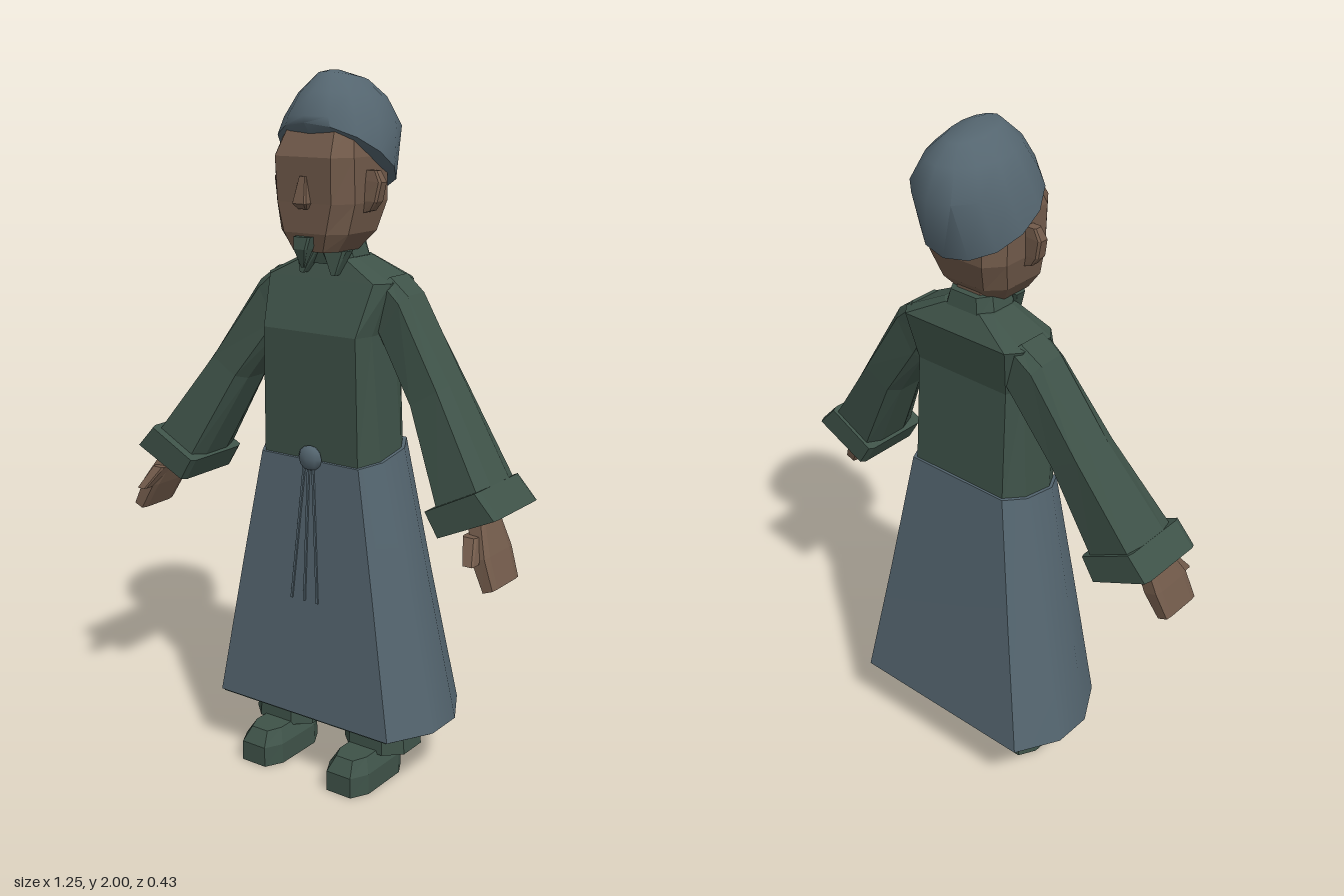
import * as THREE from 'three';
import { toCreasedNormals } from 'three/addons/utils/BufferGeometryUtils.js';

// Cross-section spanning (x0,y0)-(x1,y1) sideways and zb-zf in depth.
// ku, kv: flat share of the front and side faces; round when ku is 0. tilt lifts the front edge.
function ring(x0, y0, x1, y1, zb, zf, ku = 0.8, kv = 0.7, tilt = 0) {
  const uv = [];
  if (ku === 0) {
    for (let i = 0; i < 14; i++) {
      const a = (i / 14) * Math.PI * 2;
      uv.push([Math.sin(a), Math.cos(a)]);
    }
  } else {
    uv.push([-ku, 1], [ku, 1], [1, kv], [1, -kv], [ku, -1], [-ku, -1], [-1, -kv], [-1, kv]);
  }
  return uv.map(([u, v]) => [
    x0 + (x1 - x0) * (u + 1) / 2,
    y0 + (y1 - y0) * (u + 1) / 2 + v * tilt,
    (zb + zf) / 2 + v * (zf - zb) / 2,
  ]);
}

// Level section centred on x = 0
const level = (y, w, zb, zf, ku, kv, tilt) => ring(-w, y, w, y, zb, zf, ku, kv, tilt);

// Closed skin over sections listed from bottom to top; side -1 mirrors it
function loft(rings, side = 1, crease = 0) {
  const rs = side > 0 ? rings : rings.map(r => r.map(([x, y, z]) => [-x, y, z]).reverse());
  const n = rs[0].length, pos = [];
  const mid = r => [0, 1, 2].map(k => r.reduce((s, p) => s + p[k], 0) / n);
  const first = rs[0], last = rs[rs.length - 1];
  const cb = mid(first), ct = mid(last);
  for (let j = 0; j < n; j++) {
    const k = (j + 1) % n;
    for (let i = 0; i + 1 < rs.length; i++) {
      const a = rs[i][j], b = rs[i][k], c = rs[i + 1][k], d = rs[i + 1][j];
      pos.push(...a, ...b, ...c, ...a, ...c, ...d);
    }
    pos.push(...cb, ...first[k], ...first[j], ...ct, ...last[j], ...last[k]);
  }
  const g = new THREE.BufferGeometry();
  g.setAttribute('position', new THREE.Float32BufferAttribute(pos, 3));
  g.computeVertexNormals();
  return crease ? toCreasedNormals(g, crease) : g;
}

export function createModel() {
  const model = new THREE.Group();
  const make = (name, color) => {
    const m = new THREE.MeshStandardMaterial({ color });
    m.name = name;
    return m;
  };
  const green = make('dark green cloth', 0x3e5248);
  const slate = make('slate cloth', 0x54656f);
  const skin = make('brown skin', 0x715a4a);
  const add = (name, geometry, material) => {
    const mesh = new THREE.Mesh(geometry, material);
    mesh.name = name;
    model.add(mesh);
    return mesh;
  };

  // Skirt and its dark underside
  add('skirt', loft([
    level(0.19, 0.37, -0.205, 0.17, 0.81, 0.32),
    level(0.6, 0.283, -0.158, 0.146, 0.81, 0.36),
    level(0.97, 0.203, -0.115, 0.125, 0.82, 0.45, -0.02),
  ], 1, 0.9), slate);
  add('skirtUnderside', loft([
    level(0.185, 0.362, -0.2, 0.165, 0.81, 0.32),
    level(0.193, 0.362, -0.2, 0.165, 0.81, 0.32),
  ]), green);

  // Jacket body, shoulders and collar
  add('jacket', loft([
    level(0.94, 0.195, -0.108, 0.118, 0.82, 0.45),
    level(1.31, 0.172, -0.09, 0.125, 0.9, 0.5),
    level(1.45, 0.205, -0.12, 0.07, 0.85, 0.6),
    level(1.51, 0.085, -0.085, 0.045, 0.7, 0.6),
  ]), green);
  add('collar', loft([
    level(1.49, 0.085, -0.09, 0.06, 0.65, 0.5),
    level(1.55, 0.068, -0.08, 0.07, 0.65, 0.5),
  ]), green);

  // Neck and head
  add('neck', loft([level(1.48, 0.05, -0.06, 0.05), level(1.6, 0.05, -0.06, 0.06)]), skin);
  add('head', loft([
    level(1.53, 0.075, -0.035, 0.125, 0.65, 0.6),
    level(1.58, 0.112, -0.08, 0.14, 0.62, 0.6),
    level(1.66, 0.13, -0.11, 0.142, 0.68, 0.6),
    level(1.78, 0.13, -0.11, 0.148, 0.7, 0.6),
    level(1.87, 0.105, -0.09, 0.1, 0.7, 0.6),
  ]), skin);
  add('nose', loft([
    level(1.645, 0.015, 0.13, 0.152),
    level(1.66, 0.023, 0.13, 0.168),
    level(1.73, 0.011, 0.13, 0.15),
  ]), skin);
  add('goatee', loft([
    level(1.49, 0.005, 0.142, 0.15),
    level(1.54, 0.022, 0.125, 0.165),
    level(1.572, 0.028, 0.12, 0.158),
  ]), green);

  // Cap, tilted towards the back
  add('cap', loft([
    level(1.755, 0.128, -0.14, 0.11, 0, 0, 0.075),
    level(1.772, 0.168, -0.155, 0.14, 0, 0, 0.095),
    level(1.865, 0.15, -0.212, 0.14, 0, 0, 0.02),
    level(1.935, 0.108, -0.175, 0.105, 0, 0, 0.01),
    level(1.982, 0.055, -0.125, 0.05, 0, 0, 0.013),
    level(2.0, 0.01, -0.01, 0.02, 0, 0),
  ], 1, 0.9), slate);

  // Belt knot and hanging cords
  const knot = add('beltKnot', new THREE.SphereGeometry(0.04, 8, 6), slate);
  knot.scale.set(1, 0.9, 0.5);
  knot.position.set(0.005, 0.957, 0.127);
  for (const s of [-1, 0, 1]) {
    add('beltCord', loft([
      ring(s * 0.045 - 0.004, 0.54, s * 0.045 + 0.004, 0.54, 0.146, 0.153),
      ring(s * 0.015 - 0.004, 0.93, s * 0.015 + 0.004, 0.93, 0.122, 0.131),
    ]), slate);
  }

  // Paired parts
  for (const s of [1, -1]) {
    const side = s > 0 ? 'left' : 'right';
    const pair = (name, rings, material) => add(side + name, loft(rings, s), material);

    pair('CollarFlap', [
      ring(0.045, 1.465, 0.06, 1.465, 0.06, 0.085),
      ring(0.0, 1.54, 0.085, 1.53, 0.03, 0.075),
    ], green);
    pair('Ear', [
      ring(0.11, 1.63, 0.148, 1.64, 0.015, 0.045),
      ring(0.11, 1.665, 0.168, 1.665, 0.012, 0.05),
      ring(0.11, 1.72, 0.178, 1.715, 0.01, 0.045),
      ring(0.11, 1.745, 0.16, 1.745, 0.012, 0.04),
    ], skin);

    // Sleeve with a wide turned cuff
    pair('Sleeve', [
      ring(0.42, 0.87, 0.575, 0.945, -0.05, 0.145, 0.8, 0.5),
      ring(0.285, 1.13, 0.4, 1.2, -0.075, 0.08, 0.7, 0.5),
      ring(0.168, 1.29, 0.25, 1.42, -0.09, 0.045, 0.7, 0.6),
      ring(0.12, 1.37, 0.19, 1.465, -0.1, 0.04, 0.7, 0.6),
    ], green);
    pair('Cuff', [
      ring(0.44, 0.82, 0.62, 0.905, -0.062, 0.165, 0.92, 0.85),
      ring(0.4, 0.885, 0.56, 0.968, -0.062, 0.165, 0.92, 0.85),
    ], green);

    // Hand
    pair('Hand', [
      ring(0.592, 0.708, 0.627, 0.722, 0.045, 0.18),
      ring(0.55, 0.785, 0.597, 0.8, 0.03, 0.172),
      ring(0.505, 0.885, 0.55, 0.9, 0.03, 0.12),
    ], skin);
    pair('Thumb', [
      ring(0.55, 0.785, 0.582, 0.785, 0.175, 0.213),
      ring(0.52, 0.845, 0.56, 0.845, 0.1, 0.165),
    ], skin);

    // Trouser leg and shoe
    pair('Trouser', [
      ring(0.06, 0.09, 0.27, 0.09, -0.1, 0.08, 0.55, 0.5),
      ring(0.07, 0.25, 0.255, 0.25, -0.095, 0.075, 0.55, 0.5),
    ], green);
    pair('Shoe', [
      ring(0.085, 0, 0.225, 0, -0.06, 0.2, 0.6, 0.6),
      ring(0.087, 0.06, 0.223, 0.06, -0.06, 0.2, 0.6, 0.6),
      ring(0.108, 0.1, 0.202, 0.1, -0.05, 0.17, 0.6, 0.6),
    ], green);
  }
  return model;
}
